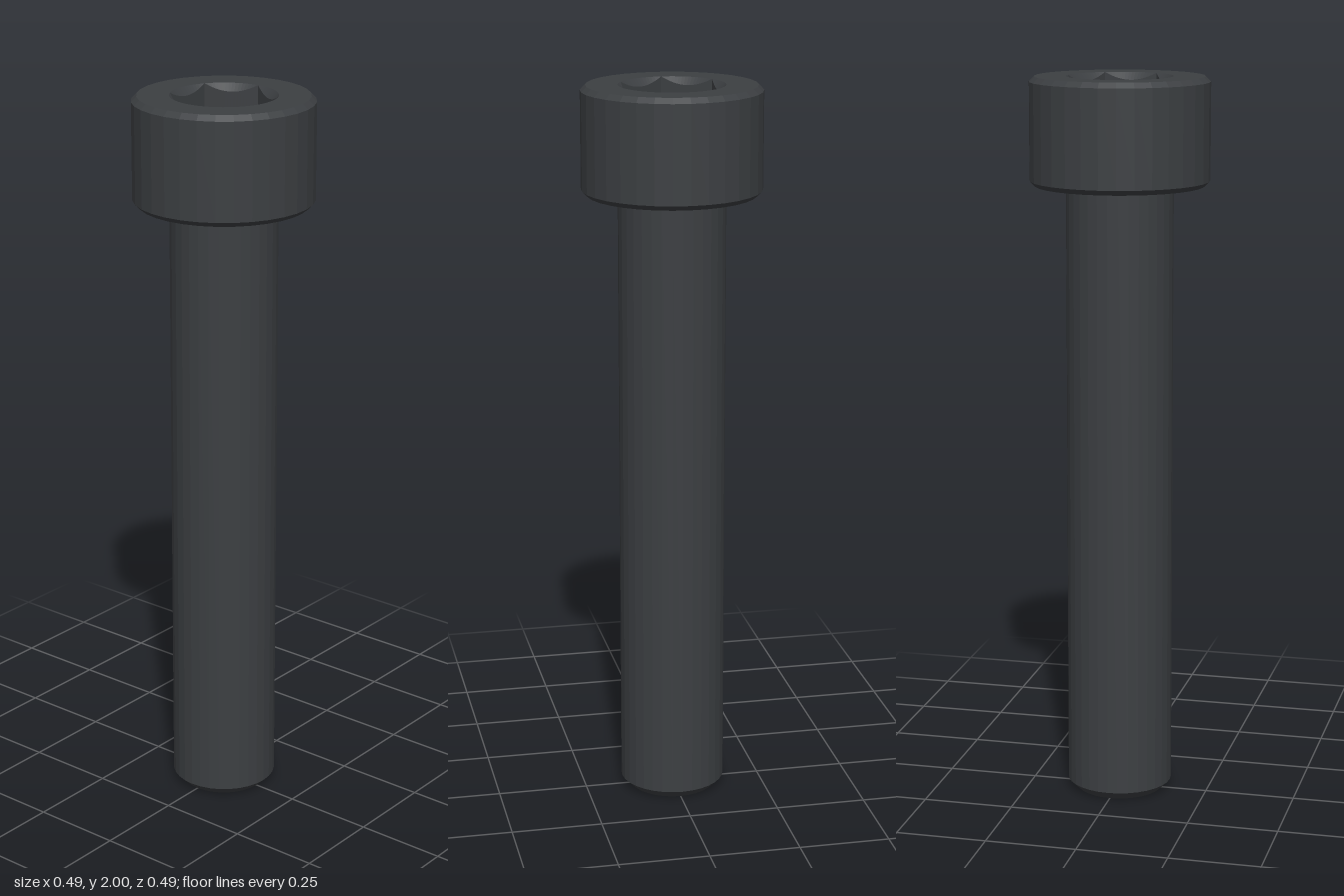
import * as THREE from 'three';

const SIDES = 32;          // facets of the turned parts
const STEPS = 96;          // divides evenly into 32 facets and 6 hex flats
const RIM = 0.2295;        // flat top of the head
const HEX = 0.1435;        // socket corner radius
const TOP = 2, FLOOR = 1.855, BEVEL = 0.02;

// Radius of a regular polygon (corner at angle 0) in direction a
function polygonRadius(sides, corner, a) {
  const half = Math.PI / sides;
  const local = (a % (2 * half)) - half;
  return corner * Math.cos(half) / Math.cos(local);
}

// Skin rings, given from outside to inside as angle -> [radius, height]
function ringSurface(rings) {
  const pos = [], index = [];
  for (const ring of rings) {
    for (let i = 0; i < STEPS; i++) {
      const a = (i / STEPS) * Math.PI * 2;
      const [r, y] = ring(a);
      pos.push(r * Math.cos(a), y, -r * Math.sin(a));
    }
  }
  for (let k = 0; k < rings.length - 1; k++) {
    for (let i = 0; i < STEPS; i++) {
      const j = (i + 1) % STEPS, o = k * STEPS, n = o + STEPS;
      index.push(o + i, o + j, n + j, o + i, n + j, n + i);
    }
  }
  const geo = new THREE.BufferGeometry();
  geo.setAttribute('position', new THREE.Float32BufferAttribute(pos, 3));
  geo.setIndex(index);
  geo.computeVertexNormals();
  return geo;
}

function turned(profile) {
  return new THREE.LatheGeometry(profile.map(([r, y]) => new THREE.Vector2(r, y)), SIDES);
}

export function createModel() {
  const model = new THREE.Group();
  model.name = 'socketHeadScrew';
  const steel = new THREE.MeshStandardMaterial({ color: 0x3c3f42, flatShading: true });
  const add = (name, geometry) => {
    const mesh = new THREE.Mesh(geometry, steel);
    mesh.name = name;
    model.add(mesh);
  };

  // Shank with a chamfered tip
  add('shank', turned([[0, 0], [0.12, 0], [0.1455, 0.025], [0.1455, 1.71]]));

  // Head underside, chamfers and side wall
  add('head', turned([[0.1455, 1.708], [0.2295, 1.708], [0.2437, 1.722], [0.2437, 1.986], [RIM, TOP]]));

  // Head top, countersunk rim, hex walls and socket floor
  const hex = (a) => polygonRadius(6, HEX, a);
  const flat = HEX * Math.cos(Math.PI / 6);
  add('hexSocket', ringSurface([
    (a) => [polygonRadius(SIDES, RIM, a), TOP],
    () => [HEX, TOP],
    (a) => [hex(a), TOP - BEVEL * (HEX - hex(a)) / (HEX - flat)],
    (a) => [hex(a), FLOOR],
    () => [0, FLOOR],
  ]));

  return model;
}
